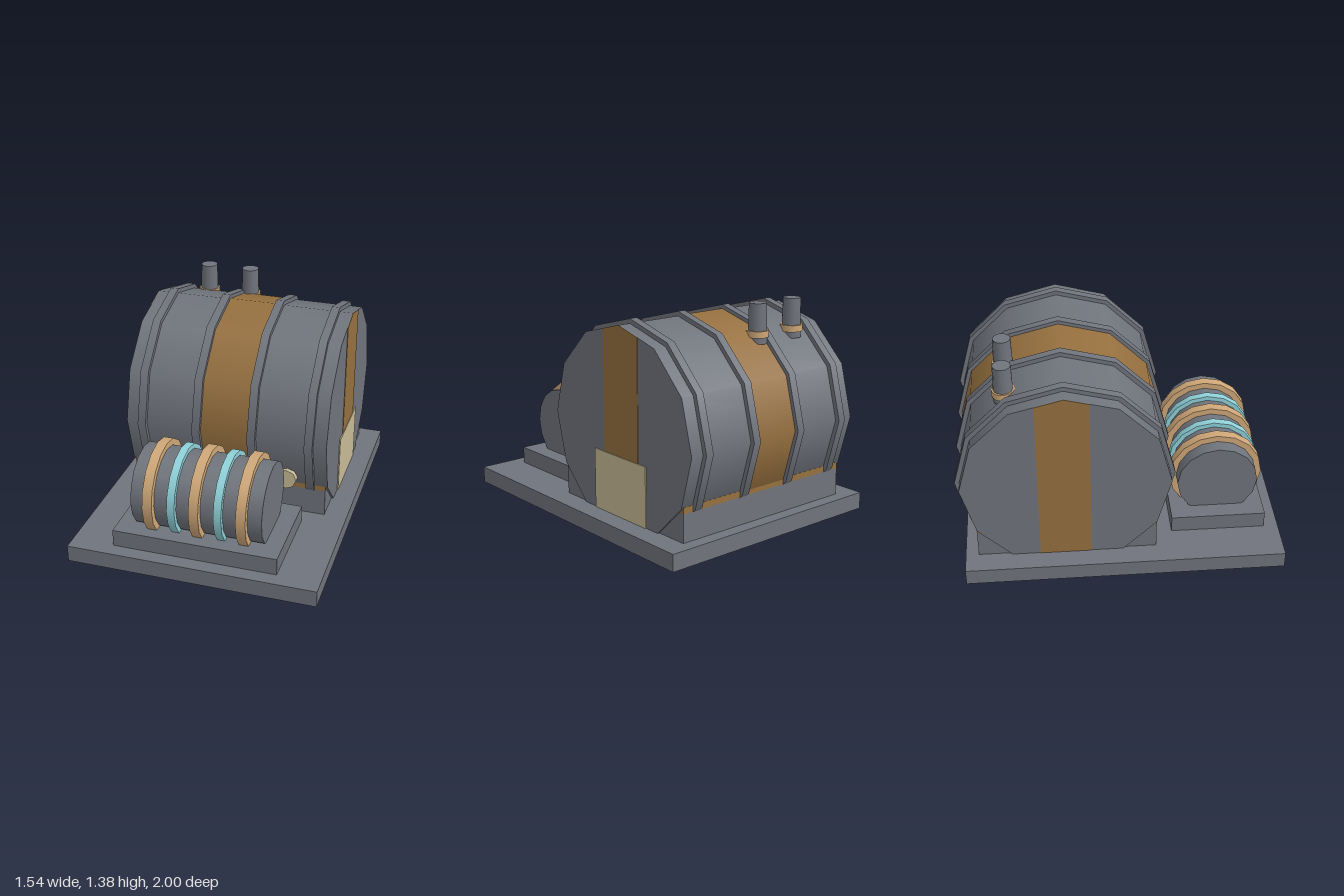
import * as THREE from 'three';

const mat = (name, color) => Object.assign(new THREE.MeshStandardMaterial({ color }), { name });

export function createModel() {
  const model = new THREE.Group();
  model.name = 'twinDrumMachine';
  const grey = mat('steelGrey', 0x70747c);
  const brown = mat('bronzeBrown', 0x96703f);
  const tan = mat('lightTan', 0xd0a878);
  const cyan = mat('paleCyan', 0x90d2da);
  const cream = mat('cream', 0xc8bb96);

  const add = (name, geometry, material, x = 0, y = 0, z = 0) => {
    const mesh = new THREE.Mesh(geometry, material);
    mesh.name = name;
    mesh.position.set(x, y, z);
    model.add(mesh);
    return mesh;
  };
  // box given by its limits on each axis
  const block = (name, material, [x0, x1], [y0, y1], [z0, z1]) =>
    add(name, new THREE.BoxGeometry(x1 - x0, y1 - y0, z1 - z0), material,
      (x0 + x1) / 2, (y0 + y1) / 2, (z0 + z1) / 2);
  // cylinder lying along x
  const drum = (name, material, r, sides, x0, x1, y, z) =>
    add(name, new THREE.CylinderGeometry(r, r, x1 - x0, sides).rotateZ(Math.PI / 2),
      material, (x0 + x1) / 2, y, z);

  // base and supports
  block('basePlate', grey, [-0.772, 0.772], [0.035, 0.14], [-0.965, 1]);
  block('drumCradle', grey, [-0.63, 0.63], [0.14, 0.312], [-0.885, 0.212]);
  block('cradleTrim', brown, [-0.63, 0.63], [0.312, 0.35], [-0.885, 0.212]);
  block('smallDrumPlinth', grey, [-0.51, 0.51], [0.14, 0.247], [0.322, 0.91]);

  // large twelve-sided drum with hoops and a painted middle
  const Y = 0.66, Z = -0.335, R = 0.632;
  drum('largeDrum', grey, R, 12, -0.643, 0.643, Y, Z);
  drum('drumCenterBand', brown, R + 0.004, 12, -0.155, 0.15, Y, Z);
  for (const x of [-0.535, -0.18, 0.175, 0.535])
    drum('drumHoop', grey, 0.66, 12, x - 0.026, x + 0.026, Y, Z);

  // stripes on both drum ends, trimmed to the rim
  const rim = (z) => R - Math.abs(z) * Math.tan(Math.PI / 12);
  const a = -0.17, b = 0.145;
  const stripe = new THREE.Shape([[a, -rim(a)], [0, -R], [b, -rim(b)], [b, rim(b)], [0, R], [a, rim(a)]]
    .map(([z, y]) => new THREE.Vector2(z, y)));
  const stripeGeometry = new THREE.ExtrudeGeometry(stripe, { depth: 0.004, bevelEnabled: false })
    .rotateY(-Math.PI / 2);
  add('endStripe', stripeGeometry, brown, 0.646, Y, Z);
  add('endStripe', stripeGeometry, brown, -0.642, Y, Z);
  block('endPanel', cream, [0.642, 0.65], [0.14, 0.512], [-0.577, -0.1]);

  // round gauge low on the front of the large drum
  add('gauge', new THREE.CylinderGeometry(0.065, 0.065, 0.08, 8).rotateX(Math.PI / 2),
    cream, 0.39, 0.39, 0.23);

  // chimneys with collars
  for (const x of [-0.407, -0.122]) {
    add('chimney', new THREE.CylinderGeometry(0.054, 0.06, 0.24, 12), grey, x, 1.262, -0.675);
    add('chimneyCollar', new THREE.CylinderGeometry(0.069, 0.069, 0.04, 12), tan, x, 1.2, -0.675);
  }

  // small front drum with alternating rings
  const y = 0.436, z = 0.615;
  drum('smallDrum', grey, 0.25, 16, -0.403, 0.403, y, z);
  for (const x of [-0.286, 0, 0.286]) drum('tanRing', tan, 0.29, 16, x - 0.03, x + 0.03, y, z);
  for (const x of [-0.143, 0.143]) drum('cyanRing', cyan, 0.28, 16, x - 0.024, x + 0.024, y, z);

  return model;
}
